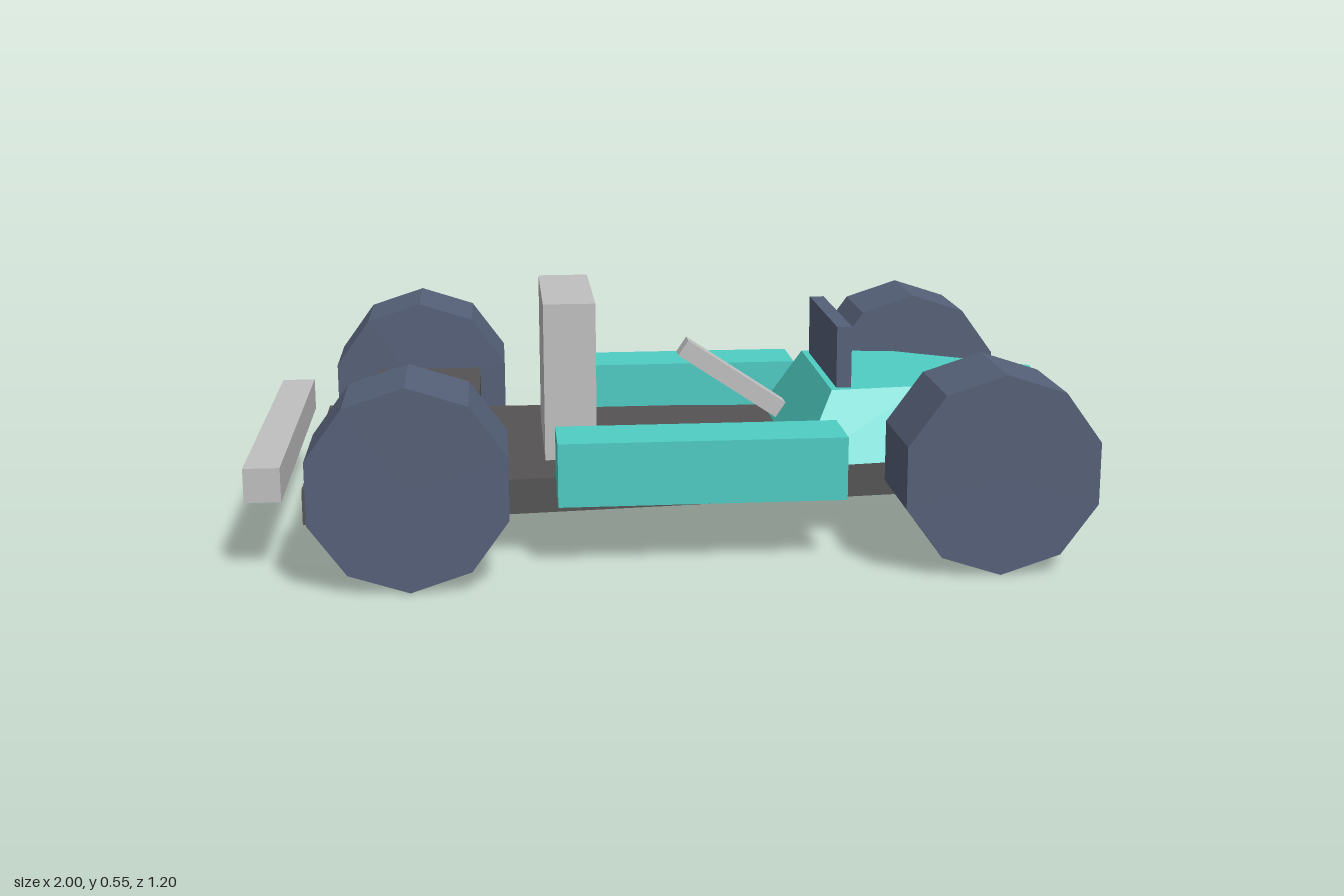
import * as THREE from 'three';
import { ConvexGeometry } from 'three/addons/geometries/ConvexGeometry.js';

function paint(name, color) {
  const m = new THREE.MeshStandardMaterial({ color, flatShading: true });
  m.name = name;
  return m;
}

export function createModel() {
  const car = new THREE.Group();
  car.name = 'buggy';
  const teal = paint('teal', 0x4ecdc4);
  const slate = paint('slate blue', 0x556078);
  const dark = paint('dark grey', 0x555353);
  const light = paint('light grey', 0xc0c0c0);

  function add(name, geometry, material) {
    const mesh = new THREE.Mesh(geometry, material);
    mesh.name = name;
    car.add(mesh);
    return mesh;
  }

  // Box given by its minimum and maximum on each axis
  function box(name, material, [x0, x1], [y0, y1], [z0, z1]) {
    const mesh = add(name, new THREE.BoxGeometry(x1 - x0, y1 - y0, z1 - z0), material);
    mesh.position.set((x0 + x1) / 2, (y0 + y1) / 2, (z0 + z1) / 2);
    return mesh;
  }

  // Floor plate, tapering towards the nose
  const plan = new THREE.Shape([
    new THREE.Vector2(-0.88, -0.4), new THREE.Vector2(0.96, -0.24),
    new THREE.Vector2(0.96, 0.24), new THREE.Vector2(-0.88, 0.4),
  ]);
  const floor = new THREE.ExtrudeGeometry(plan, { depth: 0.08, bevelEnabled: false });
  floor.rotateX(-Math.PI / 2).translate(0, 0.098, 0);
  add('chassis', floor, dark);

  // Faceted nose: wide base outline and smaller raised deck
  const nosePoints = [new THREE.Vector3(1, 0.178, 0), new THREE.Vector3(0.855, 0.336, 0)];
  for (const s of [-1, 1]) {
    nosePoints.push(
      new THREE.Vector3(0.24, 0.178, 0.32 * s), new THREE.Vector3(0.555, 0.178, 0.28 * s),
      new THREE.Vector3(0.325, 0.336, 0.225 * s), new THREE.Vector3(0.55, 0.336, 0.2 * s),
    );
  }
  add('nose', new ConvexGeometry(nosePoints), teal);

  // Body parts
  box('windscreen', slate, [0.34, 0.375], [0.3, 0.48], [-0.2, 0.2]);
  box('seatBack', light, [-0.34, -0.22], [0.178, 0.545], [-0.2, 0.2]);
  box('engine', dark, [-0.72, -0.485], [0.178, 0.384], [0.12, 0.36]);
  box('rearBumper', light, [-1, -0.92], [0.163, 0.24], [-0.44, 0.44]);

  // Sloping steering column
  const column = add('steeringColumn', new THREE.BoxGeometry(0.285, 0.043, 0.05), light);
  column.position.set(0.117, 0.322, 0);
  column.rotation.z = -0.588;

  // Mirrored side pods and ten-sided wheels
  const wheel = new THREE.CylinderGeometry(0.224, 0.224, 0.24, 10).rotateX(Math.PI / 2);
  for (const s of [-1, 1]) {
    const side = s > 0 ? 'Right' : 'Left';
    box('sidePod' + side, teal, [-0.32, 0.32], [0.145, 0.288], s > 0 ? [0.32, 0.48] : [-0.48, -0.32]);
    for (const x of [-0.64, 0.64]) {
      add((x > 0 ? 'front' : 'rear') + 'Wheel' + side, wheel, slate).position.set(x, 0.224, 0.48 * s);
    }
  }
  return car;
}
